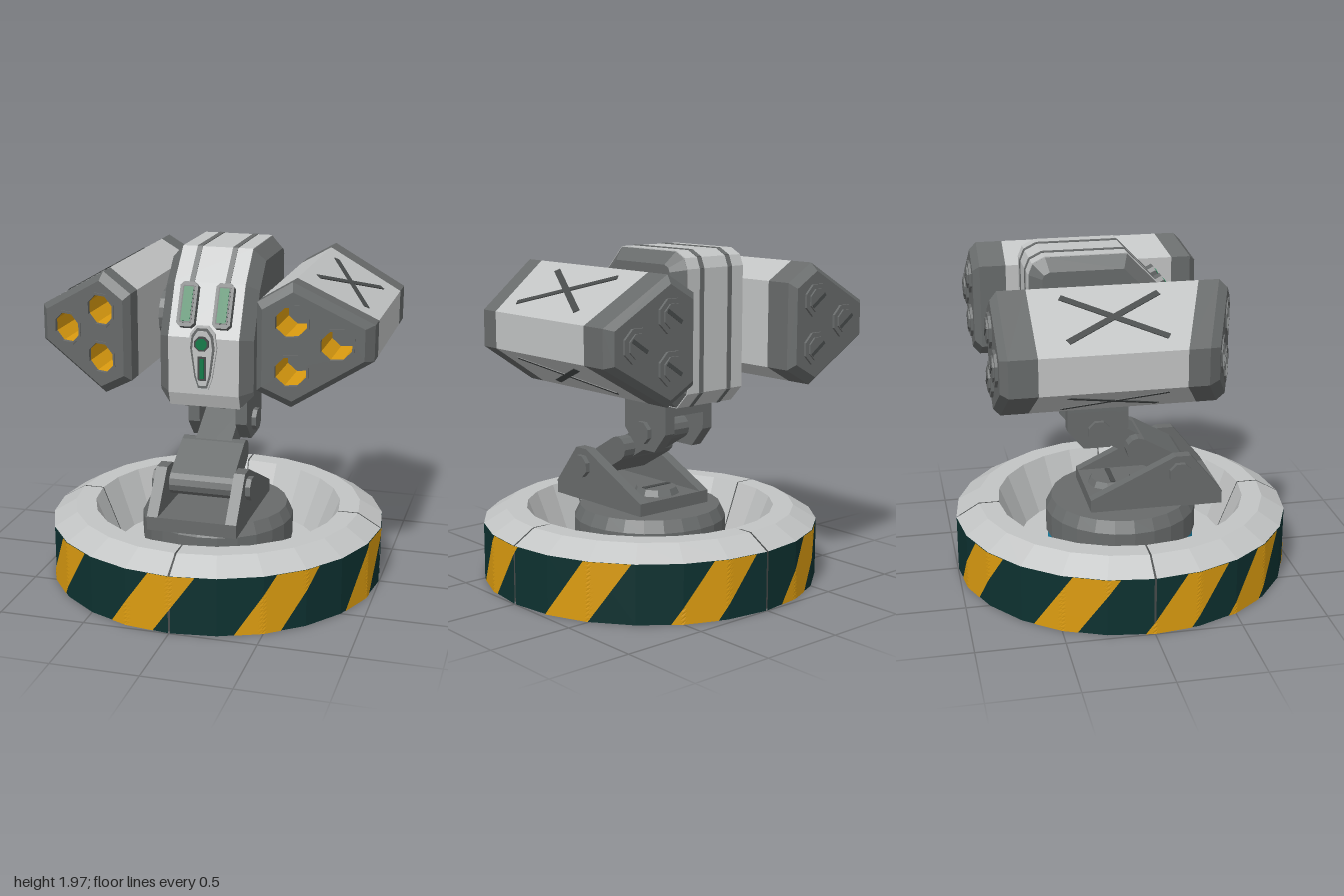
import * as THREE from 'three';

const mat = (name, color) => Object.assign(new THREE.MeshStandardMaterial({ color }), { name });
const lightGrey = mat('lightGrey', 0xc2c4c4);
const darkGrey = mat('darkGrey', 0x686b6b);
const slotGrey = mat('slotGrey', 0x484b4b);
const teal = mat('darkTeal', 0x0d3130);
const amber = mat('amber', 0xdc9c10);
const green = mat('green', 0x0f7a48);
const blue = mat('blue', 0x1a8fb8);

// Adds a faceted mesh; all placement is baked into the geometry
function part(parent, name, geo, material) {
  const g = geo.index ? geo.toNonIndexed() : geo;
  g.computeVertexNormals();
  const mesh = new THREE.Mesh(g, material);
  mesh.name = name;
  parent.add(mesh);
  return mesh;
}

// Mirrored copy across x, with the corner order put right again
function mirrored(group, name) {
  const out = new THREE.Group();
  out.name = name;
  group.children.forEach(m => {
    const g = m.geometry.clone().scale(-1, 1, 1), p = g.attributes.position;
    const a = new THREE.Vector3(), b = new THREE.Vector3();
    for (let i = 0; i < p.count; i += 3) {
      a.fromBufferAttribute(p, i + 1);
      b.fromBufferAttribute(p, i + 2);
      p.setXYZ(i + 1, b.x, b.y, b.z);
      p.setXYZ(i + 2, a.x, a.y, a.z);
    }
    part(out, m.name, g, m.material);
  });
  return out;
}

const shapeOf = pts => new THREE.Shape(pts.map(p => new THREE.Vector2(...p)));
const extrude = (shape, depth, bevel = 0) => new THREE.ExtrudeGeometry(shape, {
  depth, bevelEnabled: bevel > 0, bevelSize: bevel, bevelThickness: bevel, bevelOffset: -bevel, bevelSegments: 1, curveSegments: 8 });
// Side profile of [z, y] points extruded from x0 to x1
const slab = (pts, x0, x1, bevel = 0) =>
  extrude(shapeOf(pts), x1 - x0 - 2 * bevel, bevel).rotateY(-Math.PI / 2).translate(x1 - bevel, 0, 0);
const lathe = (pts, seg, start = 0, len = Math.PI * 2) =>
  new THREE.LatheGeometry(pts.map(p => new THREE.Vector2(...p)), seg, start, len);
const cylX = (r, x0, x1, y, z, seg = 8) =>
  new THREE.CylinderGeometry(r, r, x1 - x0, seg).rotateY(Math.PI / 8).rotateZ(Math.PI / 2).translate((x0 + x1) / 2, y, z);
const cylZ = (r, z0, z1, x, y, open = false) =>
  new THREE.CylinderGeometry(r, r, z1 - z0, 8, 1, open).rotateY(Math.PI / 8).rotateX(Math.PI / 2).translate(x, y, (z0 + z1) / 2);
const octagon = (x, y, r) => Array.from({ length: 8 }, (_, i) => {
  const a = (i + 0.5) * Math.PI / 4;
  return new THREE.Vector2(x + r * Math.cos(a), y + r * Math.sin(a));
});

// Open skin between cross-sections ordered back to front
function loft(rings) {
  const v = [], n = rings[0].length;
  for (let k = 0; k + 1 < rings.length; k++) for (let i = 0; i < n; i++) {
    const j = (i + 1) % n, [a, b, c, d] = [rings[k][i], rings[k][j], rings[k + 1][j], rings[k + 1][i]];
    v.push(...a, ...b, ...c, ...a, ...c, ...d);
  }
  return new THREE.BufferGeometry().setAttribute('position', new THREE.Float32BufferAttribute(v, 3));
}

function buildBase() {
  const base = new THREE.Group();
  base.name = 'base';
  const D = Math.PI / 180, R = 0.996;
  // Four ring quarters with narrow seams over a solid core
  for (let q = 0; q < 4; q++) {
    const s = (q * 90 + 0.35) * D, l = 89.3 * D;
    part(base, 'baseWall', lathe([[R, 0], [R, 0.34]], 6, s, l), teal);
    part(base, 'rimQuarter', lathe([[R, 0.34], [0.86, 0.42], [0.74, 0.42], [0.62, 0.12]], 6, s, l), lightGrey);
  }
  part(base, 'seamCore', lathe([[0.98, 0.002], [0.98, 0.335], [0.855, 0.408], [0.75, 0.408], [0.63, 0.11]], 24), slotGrey);
  part(base, 'underside', lathe([[0, 0], [R, 0]], 24), teal);
  part(base, 'bowlFloor', lathe([[0.64, 0.12], [0, 0.12]], 24), lightGrey);
  // Slanted hazard stripes following the 24 facets
  const starts = [-93];
  for (let k = 0; k < 8; k++) starts.push(-63 + 41.8 * k);
  for (const s of starts) {
    const g = new THREE.PlaneGeometry(1, 1, 16, 14), p = g.attributes.position;
    for (let i = 0; i < p.count; i++) {
      const t = p.getY(i) + 0.5, a = s + 15.5 * (p.getX(i) + 0.5) + 14 * t;
      const r = 1 * Math.cos(7.5 * D) / Math.cos((((a % 15) + 15) % 15 - 7.5) * D);
      p.setXYZ(i, r * Math.sin(a * D), 0.34 * t, r * Math.cos(a * D));
    }
    part(base, 'hazardStripe', g, amber);
  }
  // Turntable
  part(base, 'glowRing', lathe([[0.445, 0.12], [0.445, 0.22]], 24), blue);
  part(base, 'turntable', lathe([[0.4, 0.21], [0.455, 0.21], [0.455, 0.35], [0.42, 0.42], [0, 0.42]], 24), darkGrey);
  return base;
}

function buildArm() {
  const arm = new THREE.Group();
  arm.name = 'arm';
  part(arm, 'footPlate', slab([[-0.225, 0.415], [0.568, 0.415], [0.568, 0.495], [-0.225, 0.495]], -0.265, 0.265), darkGrey);
  part(arm, 'footScrew', new THREE.CylinderGeometry(0.12, 0.14, 0.04, 10).translate(0, 0.512, -0.06), darkGrey);
  part(arm, 'footScrewSlot', new THREE.BoxGeometry(0.2, 0.006, 0.03).translate(0, 0.534, -0.06), slotGrey);
  for (const s of [-1, 1]) {
    const span = (a, b) => (s > 0 ? [a, b] : [-b, -a]);
    part(arm, 'footEar', slab([[-0.225, 0.495], [0.28, 0.735], [0.375, 0.735], [0.568, 0.495]], ...span(0.2, 0.265)), darkGrey);
    part(arm, 'lowerBolt', cylX(0.07, ...span(0.26, 0.295), 0.63, 0.31), darkGrey);
    part(arm, 'neckEar', slab([[0.015, 1.02], [0.015, 0.91], [-0.095, 0.795], [-0.25, 0.795], [-0.345, 0.91], [-0.345, 1.02]], ...span(0.11, 0.18)), darkGrey);
    part(arm, 'upperBolt', cylX(0.068, ...span(0.17, 0.208), 0.9, -0.16), darkGrey);
  }
  part(arm, 'neckPlate', slab([[0.015, 1.01], [0.015, 1.1], [-0.345, 1.1], [-0.345, 1.01]], -0.18, 0.18), darkGrey);
  // Sloping link with rounded ends: a wide lower half and a narrow full-length core
  const link = (f, r) => {
    const phi = Math.atan2(0.27, -0.47), pts = [];
    for (let i = 0; i < 14; i++) {
      const far = i < 7, a = phi - Math.PI / 2 + (far ? i : i - 1) * Math.PI / 6;
      pts.push([0.31 - (far ? 0.47 * f : 0) + r * Math.cos(a), 0.63 + (far ? 0.27 * f : 0) + r * Math.sin(a)]);
    }
    return pts;
  };
  part(arm, 'linkLower', slab(link(0.5, 0.072), -0.19, 0.19), darkGrey);
  part(arm, 'linkCore', slab(link(1, 0.068), -0.11, 0.11), darkGrey);
  return arm;
}

function buildHead() {
  const head = new THREE.Group();
  head.name = 'head';
  const profile = [[0, 1.965], [-0.465, 1.965], [-0.535, 1.93], [-0.56, 1.87], [-0.56, 1.18], [-0.475, 1.09],
    [0.28, 1.09], [0.31, 1.17], [0.31, 1.5], [0.17, 1.79]];
  part(head, 'headSides', slab(profile.map(([z, y]) => [(z + 0.125) * 0.99 - 0.125, (y - 1.53) * 0.99 + 1.53]), -0.277, 0.277, 0.068), darkGrey);
  part(head, 'headShell', slab(profile, -0.208, 0.208), lightGrey);
  // Panel lines running over the roof, back and belly
  const path = [profile[9], ...profile.slice(0, 7)];
  for (const x of [-0.105, 0.105]) {
    for (let i = 0; i + 1 < path.length; i++) {
      const [[z0, y0], [z1, y1]] = [path[i], path[i + 1]];
      part(head, 'panelLine', new THREE.BoxGeometry(0.03, 0.008, Math.hypot(z1 - z0, y1 - y0))
        .rotateX(-Math.atan2(y1 - y0, z1 - z0)).translate(x, (y0 + y1) / 2, (z0 + z1) / 2), darkGrey);
    }
    // Framed sensor windows on the sloping brow
    const onBrow = (w, h, c, depth) => extrude(shapeOf([[-w, -h + c], [-w + c, -h], [w - c, -h], [w, -h + c],
      [w, h - c], [w - c, h], [-w + c, h], [-w, h - c]]), depth).rotateX(-0.45).translate(x, 1.665, 0.23);
    part(head, 'windowFrame', onBrow(0.052, 0.13, 0.02, 0.045), darkGrey);
    part(head, 'windowRecess', onBrow(0.035, 0.108, 0.006, 0.048), slotGrey);
    part(head, 'window', onBrow(0.027, 0.1, 0.002, 0.052), green);
  }
  // Teardrop lens plate
  const half = [[0.03, 1.2], [0.055, 1.27], [0.083, 1.45], [0.072, 1.53], [0.035, 1.575]];
  const drop = [...half, ...half.map(([x, y]) => [-x, y]).reverse()];
  [[1, 0.022, lightGrey], [0.86, 0.026, darkGrey], [0.7, 0.03, lightGrey]].forEach(([k, d, m]) =>
    part(head, 'lensPlate', extrude(shapeOf(drop.map(([x, y]) => [x * k, (y - 1.39) * (0.5 + k / 2) + 1.39])), d).translate(0, 0, 0.305), m));
  part(head, 'lensRim', cylZ(0.045, 0.32, 0.348, 0, 1.475), slotGrey);
  part(head, 'lens', cylZ(0.034, 0.33, 0.355, 0, 1.475), green);
  part(head, 'slotRim', new THREE.BoxGeometry(0.048, 0.14, 0.012).translate(0, 1.33, 0.335), slotGrey);
  part(head, 'slotLight', new THREE.BoxGeometry(0.024, 0.115, 0.012).translate(0, 1.33, 0.339), green);
  return head;
}

function buildPod() {
  const pod = new THREE.Group();
  pod.name = 'leftPod';
  const hex = [[0.36, 1.28], [0.54, 1.18], [0.97, 1.43], [0.97, 1.635], [0.54, 1.88], [0.36, 1.775]];
  const inset = hex.map(([x, y]) => [(x - 0.63) * 0.87 + 0.63, (y - 1.53) * 0.87 + 1.53]);
  const slant = x => 0.36 * (0.97 - x);
  const back = (pts, z) => pts.map(([x, y]) => [x, y, z]);
  const front = (pts, z) => pts.map(([x, y]) => [x, y, z + slant(x)]);
  const shear = g => {
    const p = g.attributes.position;
    for (let i = 0; i < p.count; i++) p.setZ(i, p.getZ(i) + slant(p.getX(i)));
    return g;
  };
  part(pod, 'podBody', loft([back(hex, -0.616), front(hex, 0.17)]), lightGrey);
  part(pod, 'podFrontCollar', loft([front(hex, 0.17), front(hex, 0.285), front(inset, 0.335)]), darkGrey);
  part(pod, 'podRearCollar', loft([back(inset, -0.81), back(hex, -0.77), back(hex, -0.616)]), darkGrey);
  part(pod, 'podRearPlate', extrude(shapeOf(inset), 0.02).translate(0, 0, -0.81), darkGrey);
  // Three launch tubes, with screwed covers at the rear
  const tubes = [[0.546, 1.67], [0.78, 1.535], [0.546, 1.395]];
  const face = shapeOf(inset);
  tubes.forEach(([x, y]) => {
    face.holes.push(new THREE.Path(octagon(x, y, 0.088)));
    const rim = new THREE.Shape(octagon(x, y, 0.102));
    rim.holes.push(new THREE.Path(octagon(x, y, 0.088)));
    part(pod, 'tubeRim', shear(extrude(rim, 0.008).translate(0, 0, 0.335)), darkGrey);
    const bore = cylZ(0.09, 0, 0.33, x, y, true);
    bore.index.array.reverse();
    part(pod, 'tubeBore', shear(bore), amber);
    part(pod, 'tubeFloor', shear(cylZ(0.092, -0.01, 0.005, x, y)), darkGrey);
    part(pod, 'rearCover', cylZ(0.098, -0.825, -0.8, x, y), darkGrey);
    part(pod, 'rearScrew', cylZ(0.07, -0.835, -0.82, x, y), darkGrey);
    part(pod, 'rearSlot', new THREE.BoxGeometry(0.12, 0.022, 0.006).rotateZ(0.6).translate(x, y, -0.835), slotGrey);
  });
  part(pod, 'podFace', shear(extrude(face, 0.02).translate(0, 0, 0.315)), darkGrey);
  // Crossed slots on the upper and lower outer facets
  for (const [y, tilt] of [[1.764, -0.518], [1.3, 0.527]]) for (const s of [-1, 1]) {
    part(pod, 'crossSlot', new THREE.BoxGeometry(0.036, 0.009, 0.62).rotateY(s * 0.54)
      .rotateZ(tilt).translate(0.745, y, -0.18), slotGrey);
  }
  // Shoulder joint
  part(pod, 'shoulderDisc', cylX(0.175, 0.26, 0.31, 1.53, -0.135, 16), darkGrey);
  part(pod, 'shoulderHub', cylX(0.15, 0.3, 0.37, 1.53, -0.135, 16), darkGrey);
  return pod;
}

export function createModel() {
  const model = new THREE.Group();
  model.name = 'launcherTurret';
  const pod = buildPod();
  model.add(buildBase(), buildArm(), buildHead(), pod, mirrored(pod, 'rightPod'));
  return model;
}
